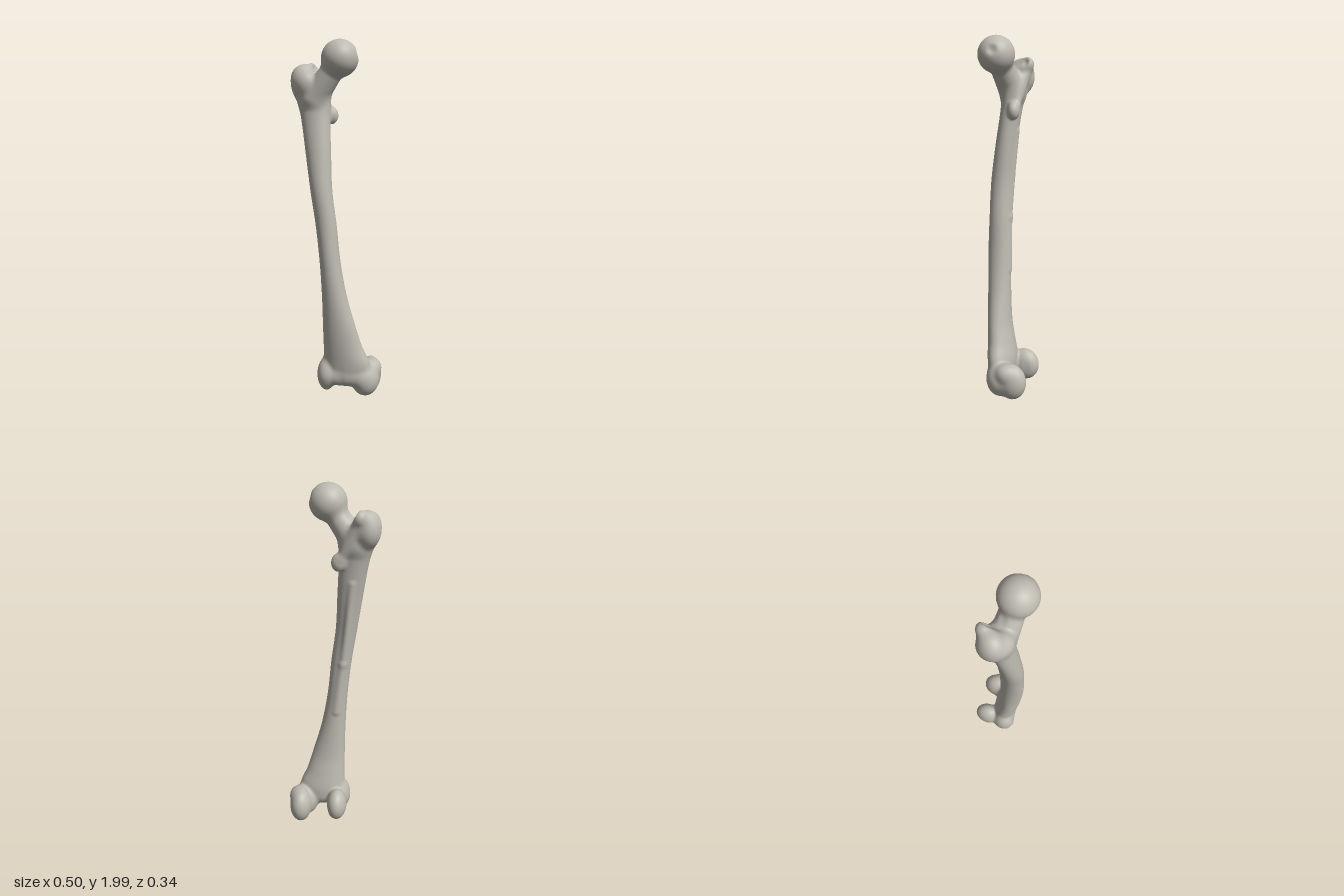
import * as THREE from 'three';

const { hypot, min, max, abs } = Math;
const HEAD = [0.03, 1.9, 0.067];

// Shaft cross-sections: height, then the edges x0, x1, z0, z1
const SHAFT = [
  [0.10, -0.085, 0.190, -0.055, 0.080],
  [0.20, -0.073, 0.195, -0.055, 0.094],
  [0.30, -0.068, 0.155, -0.035, 0.105],
  [0.40, -0.068, 0.125, -0.015, 0.115],
  [0.60, -0.070, 0.070, 0.000, 0.130],
  [0.80, -0.080, 0.035, 0.010, 0.140],
  [1.00, -0.100, 0.015, 0.020, 0.140],
  [1.20, -0.130, -0.010, 0.020, 0.140],
  [1.40, -0.160, -0.020, 0.005, 0.120],
  [1.60, -0.193, -0.030, -0.018, 0.095],
  [1.70, -0.222, -0.030, -0.035, 0.092],
  [1.80, -0.240, -0.060, -0.045, 0.095],
];

// Rounded masses: centre, radii
const LUMPS = [
  [HEAD, [0.1, 0.1, 0.1]],
  [[-0.183, 1.775, 0.01], [0.069, 0.098, 0.075]],   // greater trochanter
  [[-0.155, 1.765, 0.057], [0.058, 0.068, 0.052]],  // its front shoulder
  [[-0.032, 1.6, -0.008], [0.038, 0.048, 0.032]],   // lesser trochanter
  [[-0.035, 0.125, -0.08], [0.059, 0.092, 0.084]],  // right condyle, rear
  [[-0.053, 0.132, 0.03], [0.053, 0.096, 0.062]],   // right condyle, front
  [[0.18, 0.108, -0.085], [0.064, 0.103, 0.084]],   // left condyle, rear
  [[0.163, 0.103, -0.012], [0.08, 0.098, 0.082]],   // left condyle, front
  [[0.197, 0.158, -0.055], [0.052, 0.052, 0.055]],  // left epicondyle
];

// Tapered rods: start, end, start radius, end radius
const RODS = [
  [[-0.12, 1.69, 0.035], [0.01, 1.87, 0.062], 0.072, 0.06],      // neck
  [[-0.2, 1.815, 0.02], [-0.145, 1.845, -0.038], 0.04, 0.039],   // trochanter crest
  [[-0.145, 1.82, -0.035], [-0.05, 1.63, -0.012], 0.03, 0.024],  // crest behind the neck
  [[-0.03, 0.128, 0.035], [0.13, 0.12, 0.02], 0.056, 0.056],     // bridge between condyles
  [[-0.105, 1.48, 0.006], [-0.055, 1.0, 0.026], 0.012, 0.012],   // ridge down the back
  [[-0.055, 1.0, 0.026], [-0.02, 0.7, 0.016], 0.012, 0.012],
];

// Hollows, shaped like the rods
const HOLLOWS = [
  [[0.063, 0.02, -0.12], [0.063, 0.15, -0.117], 0.042, 0.036],   // notch at the back
  [[0.063, 0.0, -0.12], [0.06, 0.005, -0.02], 0.04, 0.03],       // notch from below
  [[0.04, 0.03, 0.12], [0.04, 0.17, 0.135], 0.035, 0.03],        // kneecap groove
  [[-0.11, 1.865, -0.03], [-0.1, 1.86, 0.02], 0.028, 0.024],     // trochanteric hollow
  [[0.137, 1.93, 0.05], [0.14, 1.93, 0.05], 0.022, 0.022],       // pit in the head
];

function blend(a, b, k) {
  const h = max(k - abs(a - b), 0) / k;
  return min(a, b) - h * h * k / 4;
}
const carve = (a, b, k) => -blend(-a, -b, k);

function ellipsoid(x, y, z, [c, r]) {
  const dx = x - c[0] + 1e-6, dy = y - c[1], dz = z - c[2];
  const k = hypot(dx / r[0], dy / r[1], dz / r[2]);
  return k * (k - 1) / hypot(dx / r[0] ** 2, dy / r[1] ** 2, dz / r[2] ** 2);
}

function rod(x, y, z, [a, b, ra, rb]) {
  const ux = b[0] - a[0], uy = b[1] - a[1], uz = b[2] - a[2];
  const px = x - a[0], py = y - a[1], pz = z - a[2];
  const t = min(1, max(0, (px * ux + py * uy + pz * uz) / (ux * ux + uy * uy + uz * uz)));
  return hypot(px - ux * t, py - uy * t, pz - uz * t) - ra - (rb - ra) * t;
}

// Smoothly interpolated shaft edges at a height
function shaftEdges(y) {
  const last = SHAFT.length - 1;
  y = min(SHAFT[last][0], max(SHAFT[0][0], y));
  let i = 0;
  while (i < last - 1 && y > SHAFT[i + 1][0]) i++;
  const p0 = SHAFT[max(i - 1, 0)], p1 = SHAFT[i], p2 = SHAFT[i + 1], p3 = SHAFT[min(i + 2, last)];
  const h = p2[0] - p1[0], t = (y - p1[0]) / h, s = 1 - t;
  return [1, 2, 3, 4].map((n) => {
    const m1 = (p2[n] - p0[n]) / (p2[0] - p0[0]) * h;
    const m2 = (p3[n] - p1[n]) / (p3[0] - p1[0]) * h;
    return (1 + 2 * t) * s * s * p1[n] + t * s * s * m1 + t * t * (3 - 2 * t) * p2[n] - t * t * s * m2;
  });
}

function shaft(x, y, z) {
  const [x0, x1, z0, z1] = shaftEdges(y);
  const rx = (x1 - x0) / 2, rz = (z1 - z0) / 2;
  const dx = x - (x0 + x1) / 2 + 1e-6, dz = z - (z0 + z1) / 2;
  const k = hypot(dx / rx, dz / rz);
  const side = k * (k - 1) / hypot(dx / rx ** 2, dz / rz ** 2);
  return carve(side, abs(y - 0.95) - 0.86, 0.06);
}

// Signed distance to the whole bone, negative inside
function bone(x, y, z) {
  let d = shaft(x, y, z);
  for (const r of RODS) d = blend(d, rod(x, y, z, r), 0.024);
  for (const l of LUMPS) d = blend(d, ellipsoid(x, y, z, l), 0.022);
  for (const h of HOLLOWS) d = carve(d, -rod(x, y, z, h), 0.022);
  return d;
}

function gradient(x, y, z) {
  const e = 0.002;
  return new THREE.Vector3(
    bone(x + e, y, z) - bone(x - e, y, z),
    bone(x, y + e, z) - bone(x, y - e, z),
    bone(x, y, z + e) - bone(x, y, z - e)).divideScalar(2 * e);
}

// Skin the bone with a quad net and sort the faces into named parts
function skin(partAt) {
  const s = 0.01, o = [-0.29, -0.03, -0.21], n = [59, 207, 43];
  const step = [1, n[0], n[0] * n[1]];
  const field = new Float32Array(n[0] * n[1] * n[2]);
  const each = (fn) => {
    for (let k = 0, q = 0; k < n[2]; k++)
      for (let j = 0; j < n[1]; j++)
        for (let i = 0; i < n[0]; i++, q++) fn([i, j, k], q);
  };
  each((g, q) => { field[q] = bone(...g.map((v, a) => o[a] + v * s)); });

  const positions = [], normals = [], vertexOf = new Int32Array(field.length).fill(-1);
  each((g, q) => {
    if (g.some((v, a) => v >= n[a] - 1)) return;
    // average the crossings on the twelve edges of the cell
    const p = new THREE.Vector3();
    let count = 0;
    for (let c = 0; c < 8; c++) {
      const bits = [c & 1, (c >> 1) & 1, (c >> 2) & 1];
      const from = q + bits[0] * step[0] + bits[1] * step[1] + bits[2] * step[2];
      for (let a = 0; a < 3; a++) {
        if (bits[a]) continue;
        const f0 = field[from], f1 = field[from + step[a]];
        if ((f0 < 0) === (f1 < 0)) continue;
        const at = [...bits];
        at[a] = f0 / (f0 - f1);
        p.add(new THREE.Vector3(...at));
        count++;
      }
    }
    if (!count) return;
    p.divideScalar(count).add(new THREE.Vector3(...g)).multiplyScalar(s).add(new THREE.Vector3(...o));
    // settle onto the exact surface
    const slope = gradient(p.x, p.y, p.z);
    const move = -bone(p.x, p.y, p.z) / max(slope.length(), 0.3);
    p.addScaledVector(slope.normalize(), min(s / 2, max(-s / 2, move)));
    vertexOf[q] = positions.length / 3;
    positions.push(p.x, p.y, p.z);
    normals.push(...gradient(p.x, p.y, p.z).normalize().toArray());
  });

  const faces = {};
  each((g, q) => {
    for (let a = 0; a < 3; a++) {
      if (g.some((v, b) => v < 1 || v >= n[b] - 1)) continue;
      const inside = field[q] < 0;
      if (inside === (field[q + step[a]] < 0)) continue;
      const b = step[(a + 1) % 3], c = step[(a + 2) % 3];
      const quad = [q, q - b, q - b - c, q - c].map((v) => vertexOf[v]);
      if (!inside) quad.reverse();
      const [v0, v1, v2, v3] = quad;
      const part = partAt(...positions.slice(v0 * 3, v0 * 3 + 3));
      (faces[part] ??= []).push(v0, v1, v2, v0, v2, v3);
    }
  });

  return Object.entries(faces).map(([name, index]) => {
    const geometry = new THREE.BufferGeometry();
    geometry.setAttribute('position', new THREE.Float32BufferAttribute(positions, 3));
    geometry.setAttribute('normal', new THREE.Float32BufferAttribute(normals, 3));
    geometry.setIndex(index);
    return [name, geometry.toNonIndexed()];
  });
}

export function createModel() {
  const group = new THREE.Group();
  group.name = 'thighBone';
  const boneGrey = new THREE.MeshStandardMaterial({ color: 0xbdbab0 });
  boneGrey.name = 'boneGrey';
  const parts = skin((x, y, z) => {
    if (hypot(x - HEAD[0], y - HEAD[1], z - HEAD[2]) < 0.103) return 'head';
    if (y > 1.52) return 'neckAndTrochanters';
    return y > 0.26 ? 'shaft' : 'condyles';
  });
  for (const [name, geometry] of parts) {
    const mesh = new THREE.Mesh(geometry, boneGrey);
    mesh.name = name;
    group.add(mesh);
  }
  return group;
}
